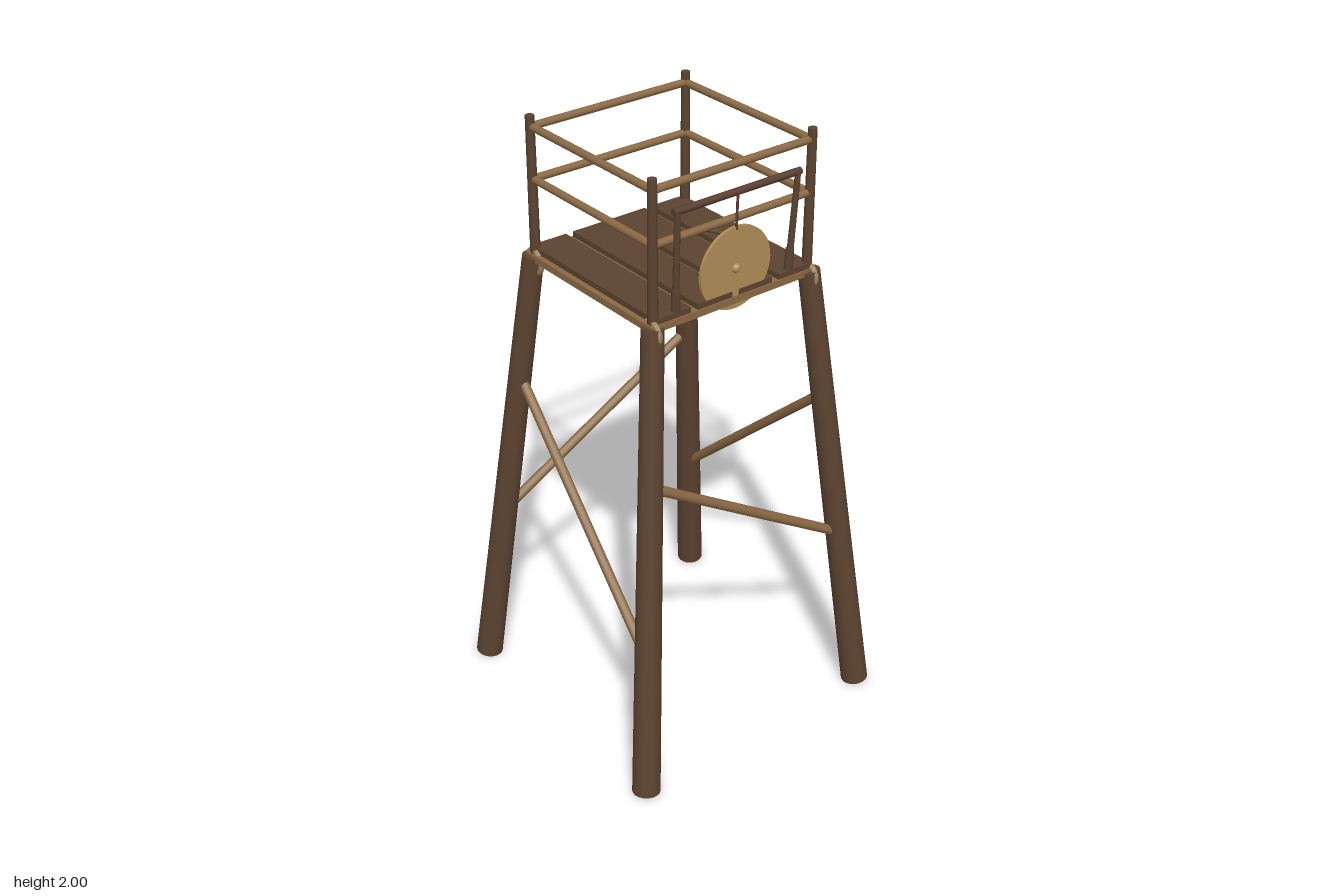
import * as THREE from 'three';

export function createModel() {
  const tower = new THREE.Group();
  tower.name = 'watchtower';

  const mat = (name, color) => {
    const m = new THREE.MeshStandardMaterial({ color });
    m.name = name;
    return m;
  };
  const darkWood = mat('dark wood', 0x5c4330);
  const lightWood = mat('light wood', 0x8b6a45);
  const redWood = mat('reddish wood', 0x5a3e2e);
  const bronze = mat('bronze', 0xb08d57);
  const rope = mat('rope', 0xa08560);

  const add = (name, geometry, material, x = 0, y = 0, z = 0) => {
    const mesh = new THREE.Mesh(geometry, material);
    mesh.name = name;
    mesh.position.set(x, y, z);
    tower.add(mesh);
    return mesh;
  };

  // Round pole between two points, optionally tapered
  const up = new THREE.Vector3(0, 1, 0);
  const pole = (name, from, to, r0, r1, material, sides = 12) => {
    const a = new THREE.Vector3(...from);
    const b = new THREE.Vector3(...to);
    const dir = b.clone().sub(a);
    const mesh = add(name, new THREE.CylinderGeometry(r1, r0, dir.length(), sides), material);
    mesh.position.copy(a).add(b).multiplyScalar(0.5);
    mesh.quaternion.setFromUnitVectors(up, dir.normalize());
    return mesh;
  };

  // Splayed legs, rope lashings and railing posts at the four corners
  for (const sx of [-1, 1]) {
    for (const sz of [-1, 1]) {
      pole('leg', [sx * 0.45, 0.006, sz * 0.45], [sx * 0.295, 1.55, sz * 0.295], 0.045, 0.034, darkWood, 20);
      add('lashing', new THREE.TorusGeometry(0.037, 0.009, 8, 20), rope, sx * 0.29, 1.53, sz * 0.295);
      pole('railingPost', [sx * 0.29, 1.55, sz * 0.29], [sx * 0.29, 2, sz * 0.29], 0.016, 0.014, darkWood);
    }
  }

  // One diagonal brace on each side, running from leg axis to leg axis
  const legAt = (y) => 0.45 - 0.1 * y;
  for (const s of [-1, 1]) {
    const [hi, lo] = [1.125, 0.47];
    pole('frontBackBrace', [-s * legAt(hi), hi, s * legAt(hi)], [s * legAt(lo), lo, s * legAt(lo)],
      0.016, 0.016, lightWood);
    const [hiS, loS] = [1.055, 0.605];
    pole('sideBrace', [s * legAt(hiS), hiS, s * legAt(hiS)], [s * legAt(loS), loS, -s * legAt(loS)],
      0.016, 0.016, lightWood);
  }

  // Platform base with four floor planks
  add('platformBase', new THREE.BoxGeometry(0.62, 0.022, 0.62), lightWood, 0, 1.549, 0);
  for (const z of [-0.229, -0.076, 0.076, 0.229]) {
    add('floorPlank', new THREE.BoxGeometry(0.612, 0.018, 0.127), darkWood, 0, 1.569, z);
  }

  // Two rows of railing on all sides
  for (const y of [1.8, 1.965]) {
    for (const s of [-1, 1]) {
      pole('railing', [-0.29, y, s * 0.288], [0.29, y, s * 0.288], 0.012, 0.012, lightWood);
      pole('railing', [s * 0.288, y, -0.29], [s * 0.288, y, 0.29], 0.012, 0.012, lightWood);
    }
  }

  // Gong frame, leaning slightly outward
  for (const s of [-1, 1]) {
    pole('gongFramePost', [0.293, 1.56, s * 0.212], [0.312, 1.895, s * 0.22], 0.011, 0.009, darkWood);
    pole('gongFrameFoot', [0.294, 1.575, s * 0.212], [0.297, 1.645, s * 0.213], 0.014, 0.013, darkWood);
  }
  pole('gongFrameBar', [0.308, 1.89, -0.232], [0.308, 1.89, 0.232], 0.011, 0.011, redWood);

  // Gong disc with its boss and hanging cord
  const gong = add('gong', new THREE.CylinderGeometry(0.13, 0.13, 0.01, 40), bronze, 0.3, 1.65, 0);
  gong.rotation.z = Math.PI / 2;
  add('gongBoss', new THREE.SphereGeometry(0.015, 16, 12), bronze, 0.303, 1.65, 0);
  pole('gongCord', [0.303, 1.77, 0], [0.307, 1.89, 0], 0.004, 0.004, redWood, 8);

  // Mallet lying on the floor
  pole('malletHandle', [-0.032, 1.6, -0.16], [0.092, 1.6, -0.217], 0.007, 0.007, darkWood, 10);
  add('malletHead', new THREE.SphereGeometry(0.016, 16, 12), lightWood, 0.11, 1.6, -0.165);

  return tower;
}
